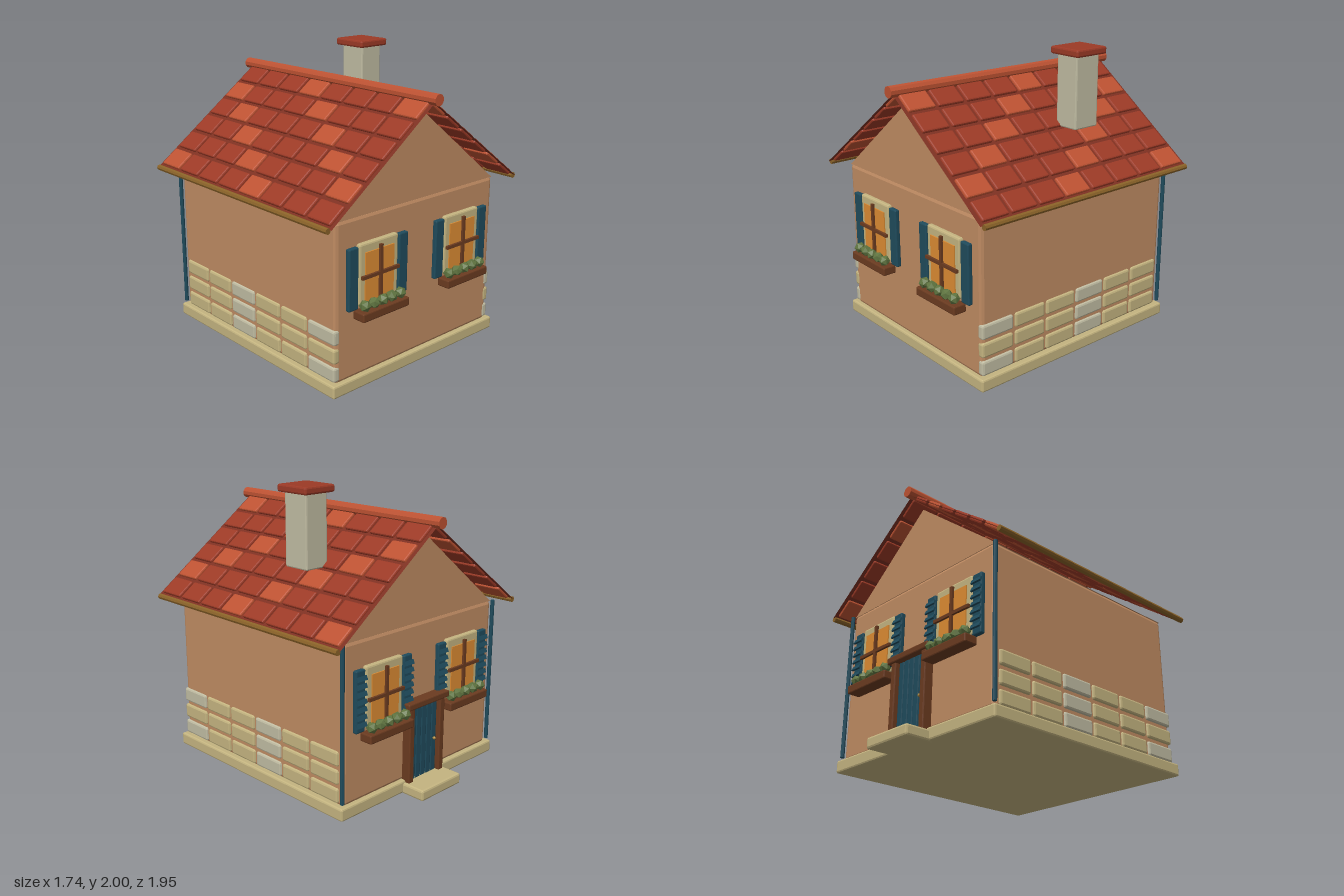
import * as THREE from 'three';
import { RoundedBoxGeometry } from 'three/addons/geometries/RoundedBoxGeometry.js';

const mat = (color, extra = {}) => new THREE.MeshStandardMaterial({ color, flatShading: true, ...extra });
const M = {
  wall: mat(0xbf8b62), sand: mat(0xc4b480), stone: mat(0xc0bca2), tile: mat(0x9c3a26), tileLight: mat(0xbd5232),
  sheet: mat(0x7d3021, { side: THREE.DoubleSide }), gutter: mat(0x8a6228), blue: mat(0x1f4b5c),
  wood: mat(0x6b3b20), glass: mat(0xdd8c33), leaf: mat(0x5f7440), brass: mat(0xb08a3c),
};

function add(parent, name, geometry, material, x = 0, y = 0, z = 0) {
  const mesh = new THREE.Mesh(geometry, material);
  mesh.name = name;
  mesh.position.set(x, y, z);
  parent.add(mesh);
  return mesh;
}
const box = (w, h, d) => new THREE.BoxGeometry(w, h, d);
// Box with a single chamfer on every edge
const chamfer = (w, h, d, r) => new RoundedBoxGeometry(w, h, d, 1, r);

function group(parent, name) {
  const g = new THREE.Group();
  g.name = name;
  parent.add(g);
  return g;
}

const MID = 0.03; // depth centre of the house body

function buildBody(root) {
  add(root, 'foundation', chamfer(1.52, 0.085, 1.68, 0.012), M.sand, 0, 0.047, MID);
  add(root, 'walls', chamfer(1.44, 1.06, 1.62, 0.024), M.wall, 0, 0.61, MID);
  const tri = new THREE.Shape([[-0.72, 1.135], [0.72, 1.135], [0, 1.705]].map(p => new THREE.Vector2(...p)));
  const gable = new THREE.ExtrudeGeometry(tri, { depth: 1.61, bevelEnabled: false });
  add(root, 'gable', gable, M.wall, 0, 0, MID - 0.805);

  // Stone courses on both side walls, drain pipes at the back corners
  for (const s of [-1, 1]) {
    const stones = group(root, 'stonework');
    for (let row = 0; row < 3; row++) for (let col = 0; col < 6; col++) {
      const grey = (row !== 1 && col === 0) || col === 3;
      add(stones, 'stone', chamfer(0.05, 0.1, 0.25, 0.014), grey ? M.stone : M.sand,
        s * 0.71, 0.147 + row * 0.124, 0.719 - col * 0.2677);
    }
    add(root, 'drainPipe', new THREE.CylinderGeometry(0.014, 0.014, 1.03, 8), M.blue, s * 0.733, 0.625, -0.787);
  }
}

function buildRoof(root) {
  const roof = group(root, 'roof');
  const slope = Math.atan2(0.102, 0.139);
  for (const s of [-1, 1]) {
    // Local x runs down the slope, local y points away from it
    const side = group(roof, 'roofSlope');
    side.position.set(0, 1.766, MID);
    if (s < 0) side.rotation.y = Math.PI;
    const pitch = group(side, 'pitch');
    pitch.rotation.z = -slope;
    add(pitch, 'roofSheet', new THREE.PlaneGeometry(1.045, 1.82).rotateX(-Math.PI / 2), M.sheet, 0.5225, 0, 0);
    for (let row = 0; row < 6; row++) for (let col = 0; col < 8; col++) {
      const light = (row + col) % 4 === 0;
      add(pitch, 'roofTile', chamfer(0.146, 0.036, 0.203, 0.01), light ? M.tileLight : M.tile,
        0.087 + row * 0.1724, 0, s * (3.5 - col) * 0.2235);
    }
    add(roof, 'gutter', new THREE.CylinderGeometry(0.02, 0.02, 1.79, 8).rotateX(Math.PI / 2), M.gutter,
      s * 0.85, 1.14, 0.025);
  }
  add(roof, 'ridge', new THREE.CylinderGeometry(0.039, 0.039, 1.89, 10).rotateX(Math.PI / 2), M.tileLight,
    0, 1.785, 0.028);

  const chimney = group(root, 'chimney');
  add(chimney, 'chimneyStack', chamfer(0.18, 0.49, 0.2, 0.01), M.stone, 0.465, 1.715, -0.19);
  add(chimney, 'chimneyCap', chamfer(0.25, 0.05, 0.265, 0.012), M.tile, 0.465, 1.975, -0.192);
}

// Window facing +z with its wall plane at z = 0
function buildWindow(root, slatted) {
  const w = group(root, 'window');
  add(w, 'windowFrame', chamfer(0.33, 0.4, 0.05, 0.012), M.sand, 0, 0.767, 0.005);
  add(w, 'windowPane', box(0.245, 0.35, 0.03), M.glass, 0, 0.735, 0.023);
  add(w, 'mullion', box(0.022, 0.37, 0.018), M.wood, 0, 0.755, 0.045);
  add(w, 'crossbar', box(0.32, 0.022, 0.018), M.wood, 0, 0.755, 0.045);
  for (const s of [-1, 1]) {
    add(w, 'shutter', chamfer(0.078, 0.405, 0.034, 0.008), M.blue, s * 0.214, 0.755, 0.015);
    if (slatted) for (let i = 0; i < 7; i++) {
      const slat = add(w, 'shutterSlat', box(0.084, 0.03, 0.012), M.blue, s * 0.214, 0.605 + i * 0.05, 0.038);
      slat.rotation.x = -0.4;
    }
  }
  // Flower box with a row of small shrubs
  add(w, 'flowerBox', chamfer(0.4, 0.058, 0.095, 0.008), M.wood, 0, 0.52, 0.058);
  for (let i = -2; i <= 2; i++) {
    const shrub = add(w, 'shrub', new THREE.IcosahedronGeometry(0.039, 0), M.leaf, i * 0.077, 0.582, 0.068);
    shrub.rotation.y = i * 0.7;
  }
  return w;
}

// Back door facing +z with its wall plane at z = 0
function buildDoor(root) {
  const d = group(root, 'door');
  for (let i = 0; i < 5; i++) {
    add(d, 'doorPlank', chamfer(0.05, 0.53, 0.04, 0.007), M.blue, (i - 2) * 0.051, 0.335, 0.012);
  }
  for (const s of [-1, 1]) add(d, 'doorPost', chamfer(0.045, 0.6, 0.085, 0.007), M.wood, s * 0.15, 0.31, 0.02);
  add(d, 'lintel', chamfer(0.4, 0.045, 0.1, 0.008), M.wood, 0, 0.612, 0.027);
  add(d, 'doorKnob', new THREE.IcosahedronGeometry(0.012, 0), M.brass, 0.1, 0.31, 0.04);
  add(d, 'doorstep', chamfer(0.39, 0.075, 0.21, 0.014), M.sand, 0, 0.038, 0.093);
  return d;
}

export function createModel() {
  const root = new THREE.Group();
  root.name = 'cottage';
  buildBody(root);
  buildRoof(root);
  for (const x of [-0.385, 0.385]) {
    buildWindow(root, false).position.set(x, 0, 0.84);
    const back = buildWindow(root, true);
    back.position.set(x, 0, -0.78);
    back.rotation.y = Math.PI;
  }
  const door = buildDoor(root);
  door.position.z = -0.78;
  door.rotation.y = Math.PI;
  return root;
}
